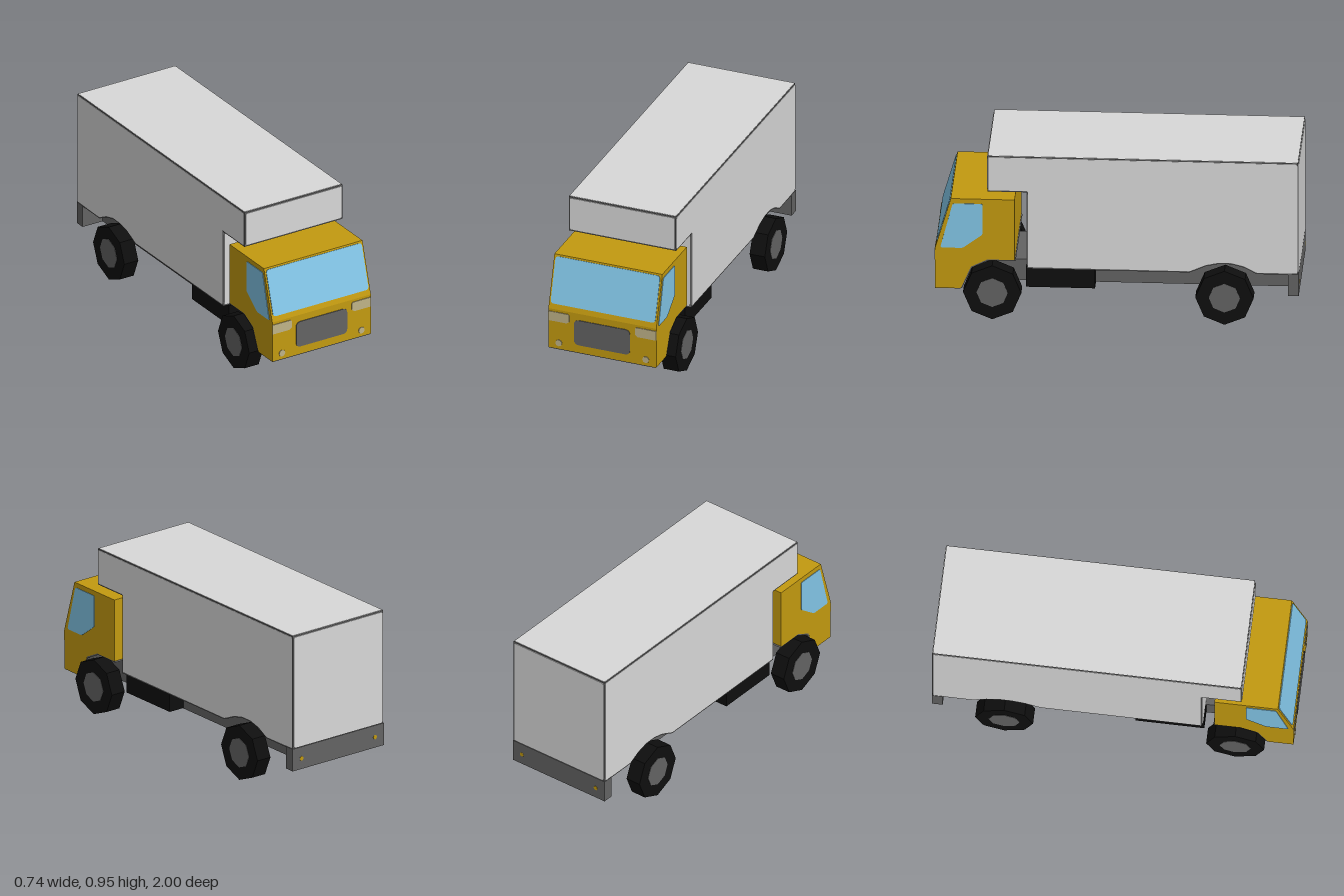
import * as THREE from 'three';

const paint = (name, color) => {
  const m = new THREE.MeshStandardMaterial({ color });
  m.name = name;
  return m;
};

// Shape from points, corners optionally rounded by r
function outline(pts, r = 0) {
  const s = new THREE.Shape();
  const v = pts.map(p => new THREE.Vector2(...p));
  v.forEach((p, i) => {
    const a = v[(i + v.length - 1) % v.length], b = v[(i + 1) % v.length];
    const q = r ? p.clone().add(a.clone().sub(p).setLength(r)) : p;
    if (i) s.lineTo(q.x, q.y); else s.moveTo(q.x, q.y);
    if (r) {
      const e = p.clone().add(b.clone().sub(p).setLength(r));
      s.quadraticCurveTo(p.x, p.y, e.x, e.y);
    }
  });
  s.closePath();
  return s;
}

const rect = (x0, y0, x1, y1) => [[x0, y0], [x1, y0], [x1, y1], [x0, y1]];

const extrude = (shape, depth) =>
  new THREE.ExtrudeGeometry(shape, { depth, bevelEnabled: false, curveSegments: 4 });

// Side profile given as (z, y), spanning x0..x1
const slab = (pts, x0, x1, r = 0) =>
  extrude(outline(pts, r), x1 - x0).rotateY(-Math.PI / 2).translate(x1, 0, 0);

export function createModel() {
  const yellow = paint('cabYellow', 0xc39a10);
  const light = paint('panelGrey', 0xd8d8d8);
  const dark = paint('frameGrey', 0x636363);
  const black = paint('tyreBlack', 0x0e0e0e);
  const glass = paint('windowBlue', 0x82c5e6);
  const lamp = paint('lampCream', 0xbfb388);

  const truck = new THREE.Group();
  truck.name = 'boxTruck';
  const add = (name, geometry, material) => {
    const m = new THREE.Mesh(geometry, material);
    m.name = name;
    truck.add(m);
    return m;
  };
  const W = 0.32, T = 0.004;

  const frontArch = [[0.855, 0.16], [0.8, 0.29], [0.71, 0.335], [0.56, 0.335]];
  const rearArch = [[-0.4, 0.285], [-0.49, 0.325], [-0.56, 0.34], [-0.63, 0.34], [-0.7, 0.322], [-0.77, 0.285]];

  // Chassis, arch liners and bumper
  add('chassis', slab([[-0.95, 0.16], ...frontArch, [0.56, 0.285], ...rearArch, [-0.95, 0.285]], -0.19, 0.19), dark);
  const inner = frontArch.map(([z, y]) => [z - 0.006, Math.max(0.16, y - 0.006)]).reverse();
  add('frontArchLiner', slab([...frontArch, ...inner], -W + 0.001, W - 0.001), dark);
  add('cabFloor', new THREE.BoxGeometry(2 * W - 0.004, 0.004, 0.14).translate(0, 0.159, 0.926), dark);
  add('rearBumper', new THREE.BoxGeometry(2 * W, 0.13, 0.06).translate(0, 0.225, -0.97), dark);

  // Cab
  add('cab', slab([[1 - T, 0.16], [1 - T, 0.4], [0.91, 0.695], [0.56, 0.695], ...[...frontArch].reverse()], -W, W), yellow);

  // Windscreen lies on the sloping front
  const slope = Math.atan2(1 - T - 0.91, 0.295);
  const screen = add('windscreen', extrude(outline(rect(-0.31, 0.031, 0.31, 0.297), 0.02), T), glass);
  screen.position.set(0, 0.4, 1 - T);
  screen.rotation.x = -slope;

  const front = (name, pts, r, mat) =>
    add(name, extrude(outline(pts, r), T).translate(0, 0, 1 - T), mat);
  front('grille', rect(-0.167, 0.207, 0.165, 0.36), 0.03, dark);

  // Panel outline of the cargo box side, with the wheel arch cut out
  const sidePanel = [[0.487, 0.295], [0.487, 0.75], [0.704, 0.75], [0.704, 0.947], [-0.992, 0.947],
    [-0.992, 0.295], ...rearArch.map(([z, y]) => [z, y + 0.008]).reverse()];
  const sideWindow = [[0.968, 0.402], [0.9, 0.667], [0.735, 0.667], [0.735, 0.485], [0.845, 0.402]];

  for (const s of [1, -1]) {
    const side = s > 0 ? 'left' : 'right';
    const plate = (name, pts, x, r, mat) =>
      add(side + name, slab(pts, Math.min(s * x, s * (x + T)), Math.max(s * x, s * (x + T)), r), mat);
    plate('Window', sideWindow, W - 0.001, 0.012, glass);
    plate('CargoPanel', sidePanel, W - T, 0.008, light);

    // Lamps
    const a = s * 0.195, b = s * 0.32;
    front(side + 'Headlight', [[a, 0.34], [s * 0.21, 0.328], [b, 0.328], [b, 0.385], [s * 0.203, 0.385], [a, 0.378]], 0, lamp);
    add(side + 'FogLamp', new THREE.CylinderGeometry(0.02, 0.02, T, 8)
      .rotateX(Math.PI / 2).translate(s * 0.258, 0.197, 1 - T / 2), lamp);
    add(side + 'RearLamp', new THREE.CylinderGeometry(0.013, 0.013, T, 8)
      .rotateX(Math.PI / 2).translate(s * 0.258, 0.222, -1), yellow);

    // Fuel tank
    add(side + 'FuelTank', new THREE.BoxGeometry(0.1, 0.12, 0.38).translate(s * 0.235, 0.222, 0.31), black);

    // Wheels
    for (const [name, z] of [['FrontWheel', 0.68], ['RearWheel', -0.595]]) {
      add(side + name, new THREE.CylinderGeometry(0.16, 0.16, 0.09, 8, 1)
        .toNonIndexed().rotateZ(Math.PI / 2).translate(s * 0.325, 0.16, z), black);
      add(side + name + 'Hub', new THREE.CylinderGeometry(0.086, 0.086, T, 8)
        .rotateZ(Math.PI / 2).translate(s * 0.37, 0.16, z), dark);
    }
  }
  // Facet the wheels
  truck.children.filter(m => m.name.endsWith('Wheel')).forEach(m => m.geometry.computeVertexNormals());

  // Cargo box frame with the overhang above the cab
  add('cargoFrame', slab([[0.495 - T, 0.285], [0.495 - T, 0.742], [0.712 - T, 0.742], [0.712 - T, 0.953],
    [-1 + T, 0.953], [-1 + T, 0.285], ...[...rearArch].reverse()], -W + T / 2, W - T / 2), dark);

  // Cargo box panels on the ends and roof
  const P = 0.311;
  const endPanel = (name, y0, y1, z) =>
    add(name, extrude(outline(rect(-P, y0, P, y1), 0.012), T).translate(0, 0, z), light);
  endPanel('overhangFrontPanel', 0.752, 0.945, 0.712 - T);
  endPanel('cargoFrontPanel', 0.295, 0.735, 0.495 - T);
  endPanel('cargoRearPanel', 0.295, 0.945, -1);
  add('roofPanel', extrude(outline(rect(-0.315, -0.705, 0.315, 0.994), 0.01), T)
    .rotateX(-Math.PI / 2).translate(0, 0.951, 0), light);

  return truck;
}
